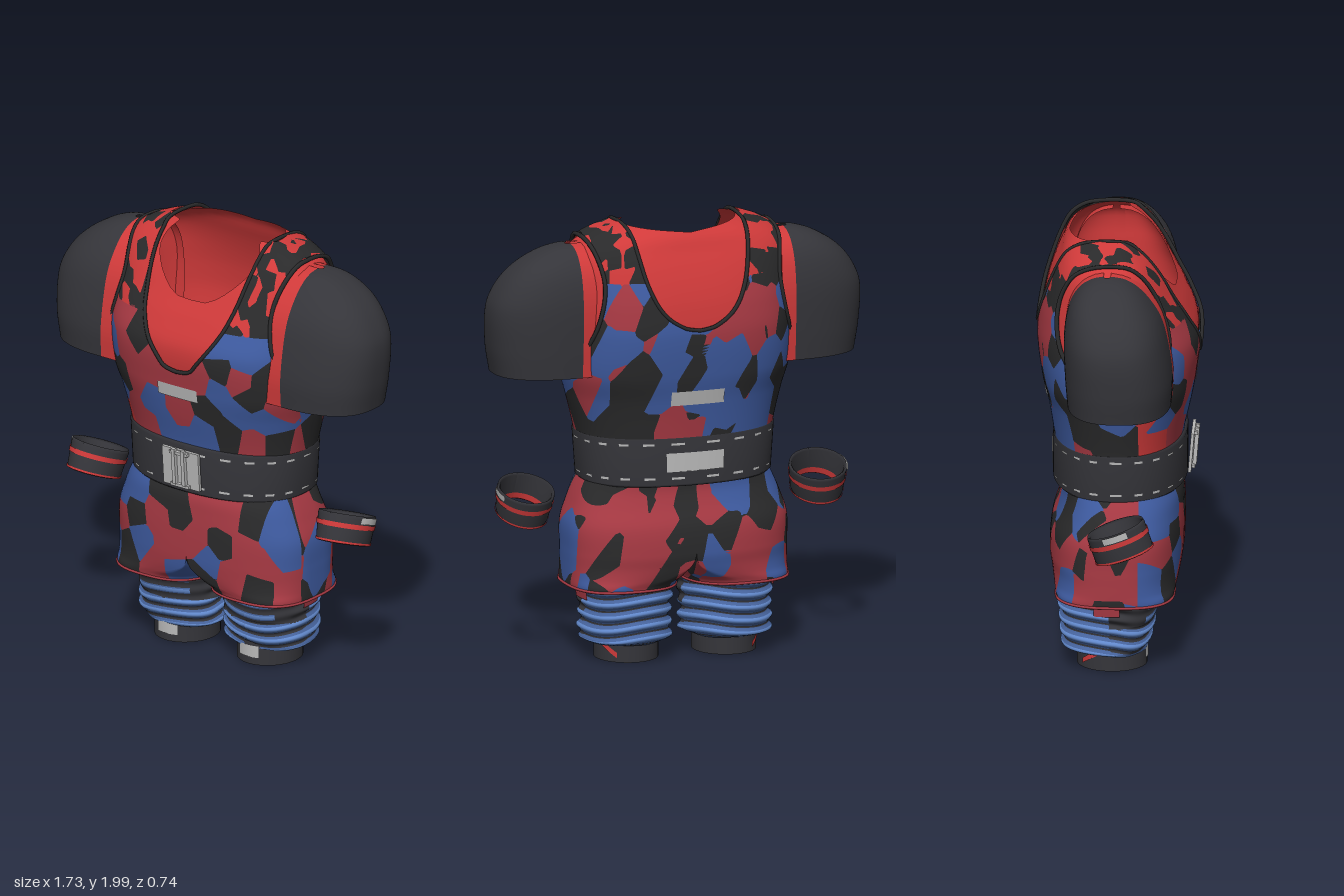
import * as THREE from 'three';

const paint = (name, hex) => Object.assign(new THREE.MeshStandardMaterial({ color: hex, side: THREE.DoubleSide }), { name });
const lerp = (a, b, t) => a + (b - a) * t;
const clamp = t => Math.min(1, Math.max(0, t));
const smooth = t => clamp(t) ** 2 * (3 - 2 * clamp(t));
const spow = (v, p) => Math.sign(v) * Math.abs(v) ** p;
const TAU = Math.PI * 2;

// Smooth lookup in a table of rows [key, value, value...]
function look(tab, y) {
  const n = tab.length - 1;
  if (y <= tab[0][0]) return tab[0].slice(1);
  if (y >= tab[n][0]) return tab[n].slice(1);
  const i = tab.findIndex(r => r[0] >= y) - 1, A = tab[i], B = tab[i + 1], h = B[0] - A[0], t = (y - A[0]) / h;
  const slope = (k, c) => {
    const p = tab[Math.max(0, k - 1)], q = tab[Math.min(n, k + 1)];
    return (q[c] - p[c]) / (q[0] - p[0]);
  };
  return A.slice(1).map((a, k) => lerp(a, B[k + 1], smooth(t)) + h * t * (1 - t) * (slope(i, k + 1) * (1 - t) - slope(i + 1, k + 1) * t));
}

// Grid surface; pick(position, u, v) gives a material (-1 for a gap), and triangles are cut where it changes
function surface(name, nu, nv, fn, mats, pick = () => 0) {
  const uv = [], base = [], pos = [], nor = [], sets = mats.map(() => []);
  for (let j = 0; j <= nv; j++) for (let i = 0; i <= nu; i++) {
    const a = j * (nu + 1) + i, d = a + nu + 1;
    uv.push([i / nu, j / nv]);
    if (i < nu && j < nv) base.push(a, a + 1, d + 1, a, d + 1, d);
  }
  const g = new THREE.BufferGeometry().setFromPoints(uv.map(t => new THREE.Vector3(...fn(...t))));
  g.setIndex(base);
  g.computeVertexNormals();
  const kind = d => pick(d.slice(0, 3), d[6], d[7]);
  const between = (a, b, t) => a.d.map((x, i) => lerp(x, b.d[i], t));
  const vertex = d => {
    pos.push(...d.slice(0, 3));
    nor.push(...d.slice(3, 6));
    return { d, k: kind(d), id: pos.length / 3 - 1 };
  };
  const cross = (a, b) => {
    let lo = 0;
    for (let step = 0.5; step > 0.003; step /= 2) if (kind(between(a, b, lo + step)) === a.k) lo += step;
    return vertex(between(a, b, lo));
  };
  const push = (k, ...vs) => k >= 0 && sets[k].push(...vs.map(v => v.id));
  const emit = (a, b, c, depth) => {
    if (a.k === b.k && b.k === c.k) push(a.k, a, b, c);
    else if (a.k === b.k) emit(c, a, b, depth);
    else if (a.k === c.k) emit(b, c, a, depth);
    else if (b.k === c.k) {
      const p = cross(a, b), q = cross(a, c);
      push(a.k, a, p, q);
      push(b.k, p, b, c, p, c, q);
    } else if (depth > 0) {
      const [p, q, r] = [[a, b], [b, c], [c, a]].map(e => vertex(between(...e, 0.5)));
      [[a, p, r], [p, b, q], [r, q, c], [p, q, r]].forEach(t => emit(...t, depth - 1));
    } else push(a.k, a, b, c);
  };
  const xyz = (attr, i) => [attr.getX(i), attr.getY(i), attr.getZ(i)];
  const vs = uv.map((t, i) => vertex([...xyz(g.attributes.position, i), ...xyz(g.attributes.normal, i), ...t]));
  for (let i = 0; i < base.length; i += 3) emit(vs[base[i]], vs[base[i + 1]], vs[base[i + 2]], 2);
  g.setAttribute('position', new THREE.Float32BufferAttribute(pos, 3));
  g.setAttribute('normal', new THREE.Float32BufferAttribute(nor, 3));
  g.setIndex(sets.flat());
  sets.reduce((start, s, k) => (g.addGroup(start, s.length, k), start + s.length), 0);
  return Object.assign(new THREE.Mesh(g, mats.length > 1 ? mats : mats[0]), { name });
}
// Thin patch lying on a body given by P(angle or x, y, offset)
const decal = (name, P, a0, a1, y0, y1, mat, off = 0.006, n = 8) =>
  surface(name, n, 1, (u, v) => P(lerp(a0, a1, u), lerp(y0, y1, v), off), [mat]);
const tube = (name, pts, r, mat, closed = false) => {
  const c = new THREE.CatmullRomCurve3(pts.map(p => new THREE.Vector3(...p)), closed);
  return Object.assign(new THREE.Mesh(new THREE.TubeGeometry(c, pts.length * 2, r, 6, closed), mat), { name });
};
// Rounded section with separate front and back depth; angle 0 faces +z
const ring = (a, y, hw, zf, zb, n, off = 0) => {
  const s = spow(Math.sin(a), 2 / n), c = spow(Math.cos(a), 2 / n);
  return [s * (hw + off), y, c > 0 ? c * (zf + off) : c * (off - zb)];
};

// Angular shards: nearest seeded point in a skewed grid, or nearest placed seed [x, y, colour]
const hash = (i, j, k, s) => { const v = Math.sin(i * 127.1 + j * 311.7 + k * 74.7 + s * 53.3) * 43758.5453; return v - Math.floor(v); };
function shard([x, y, z], f = 1) {
  const p = [x * 9 + y * 3, y * 5 - x * 2.5, z * 7.5 + y * 2].map(q => q * f), b = p.map(Math.floor);
  let best = 9, val = 0;
  for (let i = b[0] - 1; i < b[0] + 2; i++) for (let j = b[1] - 1; j < b[1] + 2; j++) for (let k = b[2] - 1; k < b[2] + 2; k++) {
    const d = (i + hash(i, j, k, 1) - p[0]) ** 2 + (j + hash(i, j, k, 2) - p[1]) ** 2 + (k + hash(i, j, k, 3) - p[2]) ** 2;
    if (d < best) { best = d; val = hash(i, j, k, 4); }
  }
  return val;
}
const nearest = (seeds, [x, y]) => {
  const d = seeds.map(s => (s[0] - x) ** 2 * 1.5 + (s[1] - y) ** 2);
  return seeds[d.indexOf(Math.min(...d))][2];
};
// Colours: 0 red, 1 black, 2 blue, 3 bright red
const CHEST = [[-0.3, 1.45, 0], [-0.15, 1.38, 0], [0, 1.33, 0], [-0.25, 1.3, 0], [-0.33, 1.57, 0], [-0.25, 1.52, 1], [-0.44, 1.42, 2], [-0.46, 1.34, 1],
  [-0.36, 1.27, 1], [-0.4, 1.2, 2], [-0.47, 1.22, 3], [-0.3, 1.13, 0], [-0.4, 1.08, 3], [-0.17, 1.22, 2], [-0.1, 1.1, 2], [-0.2, 1.07, 0], [0, 1.2, 0],
  [0.02, 1.06, 2], [0.1, 1.12, 2], [0.14, 1.25, 1], [0.12, 1.38, 0], [0.2, 1.34, 2], [0.23, 1.46, 1], [0.22, 1.56, 2], [0.34, 1.52, 2], [0.32, 1.42, 0],
  [0.42, 1.4, 1], [0.36, 1.33, 1], [0.3, 1.24, 2], [0.24, 1.14, 1], [0.33, 1.1, 0], [0.4, 1.22, 2], [0.46, 1.28, 0], [0.42, 1.08, 1]];
const HIPS = [[-0.3, 0.75, 2], [-0.42, 0.7, 2], [-0.42, 0.58, 0], [-0.48, 0.46, 2], [-0.37, 0.45, 1], [-0.27, 0.52, 2], [-0.3, 0.63, 1], [-0.17, 0.66, 0],
  [-0.1, 0.53, 0], [-0.18, 0.41, 0], [-0.08, 0.4, 2], [-0.14, 0.78, 1], [-0.03, 0.7, 1], [0.05, 0.6, 0], [0.08, 0.75, 0], [0.12, 0.5, 2], [0.08, 0.41, 1],
  [0.19, 0.6, 1], [0.23, 0.46, 0], [0.22, 0.73, 0], [0.3, 0.6, 0], [0.33, 0.72, 1], [0.42, 0.7, 2], [0.39, 0.52, 0], [0.37, 0.41, 1], [0.46, 0.58, 2], [0.48, 0.42, 0]];

// Body tables: [y, half width, front z, back z, squareness]
const TORSO = [[0.95, 0.43, 0.265, -0.27, 2.3], [1.04, 0.44, 0.275, -0.28, 2.3], [1.2, 0.475, 0.31, -0.305, 2.4], [1.32, 0.5, 0.33, -0.33, 2.7],
  [1.5, 0.5, 0.345, -0.35, 2.9], [1.62, 0.5, 0.3, -0.34, 2.9], [1.71, 0.5, 0.25, -0.32, 2.9], [1.8, 0.5, 0.2, -0.29, 2.9],
  [1.87, 0.48, 0.15, -0.26, 2.8], [1.93, 0.4, 0.1, -0.235, 2.5], [1.98, 0.26, 0.05, -0.19, 2.3]];
const SLEEVE = [[1.32, 0.84, 0.25, -0.21], [1.45, 0.86, 0.255, -0.22], [1.62, 0.862, 0.23, -0.225], [1.72, 0.82, 0.2, -0.215],
  [1.8, 0.75, 0.15, -0.19], [1.86, 0.655, 0.09, -0.145], [1.89, 0.57, 0.03, -0.09], [1.897, 0.52, -0.02, -0.05]];
// [y, centre x, inner radius, outer radius, front z, back z]
const SHORTS = [[0.335, 0.265, 0.24, 0.24, 0.25, -0.27], [0.36, 0.25, 0.235, 0.257, 0.255, -0.275], [0.39, 0.14, 0.138, 0.368, 0.265, -0.285],
  [0.44, 0.03, 0.03, 0.479, 0.278, -0.298], [0.5, 0, 0, 0.51, 0.285, -0.308], [0.62, 0, 0, 0.508, 0.288, -0.3], [0.72, 0, 0, 0.475, 0.285, -0.265],
  [0.78, 0, 0, 0.45, 0.28, -0.25], [0.84, 0, 0, 0.42, 0.26, -0.25]];
const WRAP = [[0.08, 0.17, 0.12, -0.2], [0.1, 0.2, 0.135, -0.24], [0.2, 0.195, 0.16, -0.25], [0.35, 0.208, 0.19, -0.265]];
const NECK = [[[1.4, 0], [1.41, 0.06], [1.45, 0.1], [1.56, 0.18], [1.66, 0.225], [1.85, 0.26], [1.98, 0.265]],
  [[1.53, 0], [1.54, 0.06], [1.6, 0.15], [1.7, 0.21], [1.85, 0.25], [1.98, 0.265]]];
const ARM = [[1.33, 0.5], [1.36, 0.495], [1.42, 0.475], [1.6, 0.42], [1.75, 0.4], [1.9, 0.43], [2, 0.45]];

const torsoP = (a, y, off = 0) => ring(a, y + (off && 0.012 * smooth((y - 1.75) / 0.15)), ...look(TORSO, y), off);
const angleAt = (x, y) => {
  const [hw, , , n] = look(TORSO, y);
  return Math.asin(spow(Math.max(-1, Math.min(1, x / hw)), n / 2));
};
// Vest point: u runs from the neckline (or centre) to the armhole (or side)
const vestP = (s, back, u, y) => {
  const xo = Math.min(look(TORSO, y)[0], look(ARM, y)[0]), xi = Math.min(xo, Math.max(0, look(NECK[back], y)[0]));
  const a = lerp(angleAt(xi, y), angleAt(xo, y), u);
  return torsoP(s * (back ? Math.PI - a : a), y, 0.013);
};

export function createModel() {
  const g = new THREE.Group();
  const red = paint('bright red', 0xd03a3a), wine = paint('camouflage red', 0xa93a44), blue = paint('camouflage blue', 0x3f5ca2);
  const black = paint('camouflage black', 0x2a2a2b), dark = paint('charcoal', 0x35353a), grey = paint('light grey', 0xbababa);
  const sky = paint('wrap light blue', 0x6289cc), denim = paint('wrap blue', 0x46639c), camo = [wine, black, blue, red];
  // Undershirt with a scooped neck
  g.add(surface('undershirt', 96, 50, (u, v) => {
    const a = u * TAU + Math.PI / 2, c = Math.abs(Math.sin(a)) ** (2 / 2.9);
    const top = Math.cos(a) > 0 ? 1.71 + 0.265 * smooth((c - 0.1) / 0.78) : 1.945 + 0.03 * c;
    return torsoP(a, lerp(0.95, top, v));
  }, [red]));
  for (const s of [1, -1]) {
    // Vest panels in angular camouflage, with red straps and edge bindings running over the shoulder
    for (const back of [0, 1]) g.add(surface(back ? 'vestBack' : 'vestFront', 34, 76, (u, v) => vestP(s, back, u, lerp(0.98, 1.972, v)), camo, c => {
      if (c[1] > (back ? 1.75 : 1.62)) return shard(c, 2) < 0.5 ? 3 : 1;
      if (!back && c[2] > 0.1) return nearest(CHEST, c);
      const r = shard(c);
      return r < 0.28 ? 0 : r < 0.67 ? 1 : 2;
    }));
    const edge = (back, u, y0, y1) => Array.from({ length: 26 }, (_, i) => vestP(s, back, u, lerp(y0, y1, (i / 25) ** 1.4)));
    const over = (u, y0, y1, top) => [...edge(0, u, y0, top), ...edge(1, u, y1, top).reverse()];
    g.add(tube('necklineBinding', over(0, 1.4, 1.53, 1.962), 0.009, black), tube('armholeBinding', over(1, 1.335, 1.335, 1.905), 0.01, black));
    // Short sleeve with a red shoulder seam
    g.add(surface('sleeve', 60, 36, (u, v) => {
      const y = lerp(1.32, 1.897, 1 - (1 - v) ** 1.5), [xo, zf, zb] = look(SLEEVE, y);
      const e = Math.min(u, 1 - u) * 10, a = (clamp((u - 0.1) / 0.8) - 0.5) * Math.PI;
      const x = e < 1 ? lerp(0.4, 0.5, e) : 0.5 + (xo - 0.5) * spow(Math.cos(a), 0.8);
      return [s * x, y, (zf + zb) / 2 + (zf - zb) / 2 * spow(Math.sin(a), 0.8)];
    }, [dark, red], c => Math.abs(c[0]) < 0.5 ? 1 : 0));
    // Shorts leg: half of the hips that becomes a full tube below
    const shortsP = (a, y) => {
      const [cx, ri, ro, zf, zb] = look(SHORTS, y), p = ring(a, y, 1, zf, zb, 2.7);
      return [s * Math.max(0, cx + p[0] * (p[0] > 0 ? ro : ri)), y, p[2]];
    };
    g.add(surface('shortsLeg', 80, 50, (u, v) => shortsP(u * TAU, lerp(0.335, 0.84, v)), camo, (c, u) => {
      if (u > 0.5 && c[1] > 0.53) return -1;
      if (c[2] > 0.1) return nearest(HIPS, c);
      const r = shard([c[0], c[1] + 3, c[2]]);
      return r < 0.42 ? 0 : r < 0.74 ? 1 : 2;
    }));
    g.add(tube('shortsHem', Array.from({ length: 32 }, (_, i) => shortsP(i / 32 * TAU, 0.342)), 0.007, wine, true));
    // Knee wrap: slanted blue folds, with a dark pad on the upper front
    const phase = (a, v) => TAU * (4.5 * v + 0.35 * Math.sin(a + 1) + 0.12 * Math.sin(3 * a + s));
    const wrapP = (a, y, off = 0) => {
      const p = ring(a, y, ...look(WRAP, y), 2.2, off);
      return [s * (0.235 + p[0]), y, p[2]];
    };
    g.add(surface('kneeWrap', 60, 44, (u, v) => {
      const a = u * TAU, pad = v > 0.5 ? 1 - 0.7 * smooth(Math.cos(a) * 2) : 1;
      return wrapP(a, lerp(0.08, 0.345, v), 0.01 * pad * Math.sin(phase(a, v)));
    }, [sky, dark, denim], (c, u, v) => {
      const a = u * TAU, w = Math.sin(phase(a, v)), front = Math.cos(a) > -0.1;
      if (v > 0.52 && front) return Math.abs(Math.abs(c[0]) - 0.235) > 0.14 || w < 0 ? 1 : w > 0.6 ? 0 : 2;
      return w > 0.35 ? 0 : w > (front ? -0.6 : -0.9) ? 2 : 1;
    }));
    g.add(decal('wrapTab', wrapP, 1.5, 1.9, 0.28, 0.318, wine, 0.013));
    // Lower leg cuff with label and slanted stripe
    const cuffP = (a, y, off = 0) => [s * (0.23 + Math.sin(a) * (0.142 + off)), y, Math.cos(a) * (0.155 + off) - 0.025];
    g.add(surface('legCuff', 48, 4, (u, v) => cuffP(u * TAU, v * 0.2), [dark]), decal('cuffLabel', cuffP, -0.4, 0.35, 0.035, 0.09, grey, 0.005));
    g.add(surface('cuffStripe', 8, 1, (u, v) => cuffP(lerp(1.75, 2.5, u), lerp(0.09, 0.02, u) + v * 0.024, 0.005), [red]));
    // Tilted wristband
    const band = Object.assign(new THREE.Group(), { name: 'wristband' });
    band.position.set(s * 0.69, 0.725, 0.03);
    band.rotation.set(-0.34, 0, s * 0.06);
    const bandP = (a, y, off = 0) => ring(s * a, y, 0.122 + y * 0.12, 0.133, -0.133, 2, off);
    const prof = [[-0.058, -0.014], [-0.067, -0.004], [-0.052, 0], [0.052, 0], [0.067, -0.004], [0.058, -0.014], [-0.058, -0.014]];
    band.add(surface('bandBody', 48, 6, (u, v) => bandP(u * TAU, ...prof[Math.round(v * 6)]), [dark]));
    for (const [y0, y1, off] of [[0.005, 0.027, 0.004], [-0.064, -0.054, 0.003], [-0.058, -0.03, -0.017]]) band.add(decal('bandStripe', bandP, 0, TAU, y0, y1, red, off, 48));
    band.add(decal('bandLabel', bandP, 1.15, 2, 0.032, 0.062, grey, 0.005));
    g.add(band);
  }
  // Wide belt with stitching
  const beltP = (a, y, off = 0) => ring(a, y, lerp(0.44, 0.457, (y - 0.81) / 0.23), 0.3, -0.295, 2.3, off);
  const beltProf = [[0.815, -0.07], [0.81, -0.012], [0.822, 0], [1.028, 0], [1.04, -0.012], [1.035, -0.05]];
  g.add(surface('belt', 80, 5, (u, v) => beltP(u * TAU, ...beltProf[Math.round(v * 5)]), [dark]));
  for (const y of [0.845, 1.0]) for (let a = TAU / 44; a < TAU; a += TAU / 22) g.add(decal('beltStitch', beltP, a - 0.06, a + 0.06, y, y + 0.01, grey, 0.004, 3));
  // Labels on chest, back and belt
  g.add(decal('chestLabel', (x, y, o) => torsoP(angleAt(x, y), y, o), -0.11, 0.1, 1.27, 1.33, grey, 0.018));
  g.add(decal('backLabel', (x, y, o) => torsoP(Math.PI - angleAt(x, y), y, o), -0.12, 0.12, 1.185, 1.25, grey, 0.018));
  g.add(decal('beltBackLabel', beltP, Math.PI - 0.25, Math.PI + 0.25, 0.88, 0.965, grey));
  // Buckle
  const buckle = Object.assign(new THREE.Group(), { name: 'buckle' });
  buckle.position.set(0, 0.932, 0.318);
  buckle.rotation.x = 0.08;
  for (const [name, w, h, d, x, y, z] of [['bucklePlate', 0.2, 0.18, 0.014, 0, 0, 0], ['leftProng', 0.018, 0.17, 0.018, 0.026, 0.012, 0.018],
    ['rightProng', 0.018, 0.17, 0.018, -0.026, 0.012, 0.018], ['topBar', 0.1, 0.014, 0.016, 0, 0.078, 0.014], ['bottomBar', 0.1, 0.014, 0.016, 0, -0.078, 0.014]])
    buckle.add(Object.assign(new THREE.Mesh(new THREE.BoxGeometry(w, h, d).translate(x, y, z), grey), { name }));
  g.add(buckle);
  return Object.assign(g, { name: 'outfit' });
}
